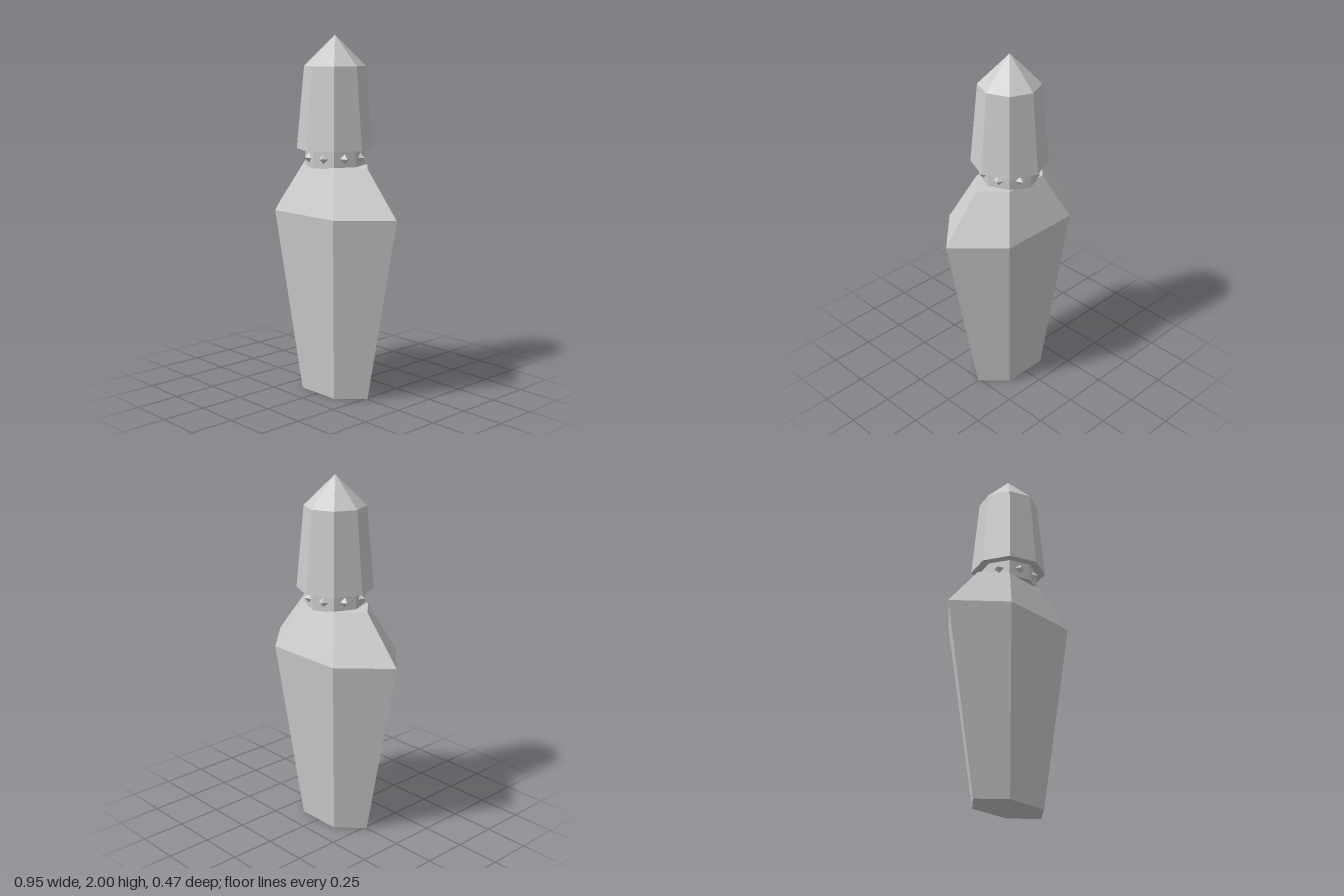
import * as THREE from 'three';

const material = new THREE.MeshStandardMaterial({ color: 0xcccccc, flatShading: true });

// Faceted solid turned from a [radius, height] profile, listed bottom to top
function faceted(name, profile, sides, startAngle = 0) {
  const points = profile.map(([r, y]) => new THREE.Vector2(r, y));
  const geometry = new THREE.LatheGeometry(points, sides, startAngle).toNonIndexed();
  geometry.computeVertexNormals();
  const mesh = new THREE.Mesh(geometry, material);
  mesh.name = name;
  return mesh;
}

export function createModel() {
  const model = new THREE.Group();
  model.name = 'bottle';

  // Tapered six-sided body, flattened so its corners run at 45 degrees
  const body = faceted('body', [[0, 0], [0.264, 0], [0.474, 1.035], [0.253, 1.292], [0, 1.292]], 6, Math.PI / 2);
  body.geometry.scale(1, 1, 1 / Math.sqrt(3));
  body.geometry.computeVertexNormals();
  model.add(body);

  // Eight-sided neck
  const neckRadius = 0.163;
  model.add(faceted('neck', [[0, 1.285], [neckRadius, 1.285], [neckRadius, 1.385], [0, 1.385]], 8));

  // One diamond stud in the middle of each neck face
  const studs = new THREE.Group();
  studs.name = 'neckStuds';
  const studGeometry = new THREE.OctahedronGeometry(0.028);
  const apothem = neckRadius * Math.cos(Math.PI / 8);
  for (let i = 0; i < 8; i++) {
    const angle = (i + 0.5) * Math.PI / 4;
    const stud = new THREE.Mesh(studGeometry, material);
    stud.name = 'neckStud';
    stud.position.set(Math.sin(angle) * apothem, 1.338, Math.cos(angle) * apothem);
    stud.rotation.y = angle;
    studs.add(stud);
  }
  model.add(studs);

  // Tall eight-sided cap with a pointed top
  model.add(faceted('cap', [[0, 1.382], [0.212, 1.382], [0.169, 1.834], [0, 2]], 8));

  return model;
}
